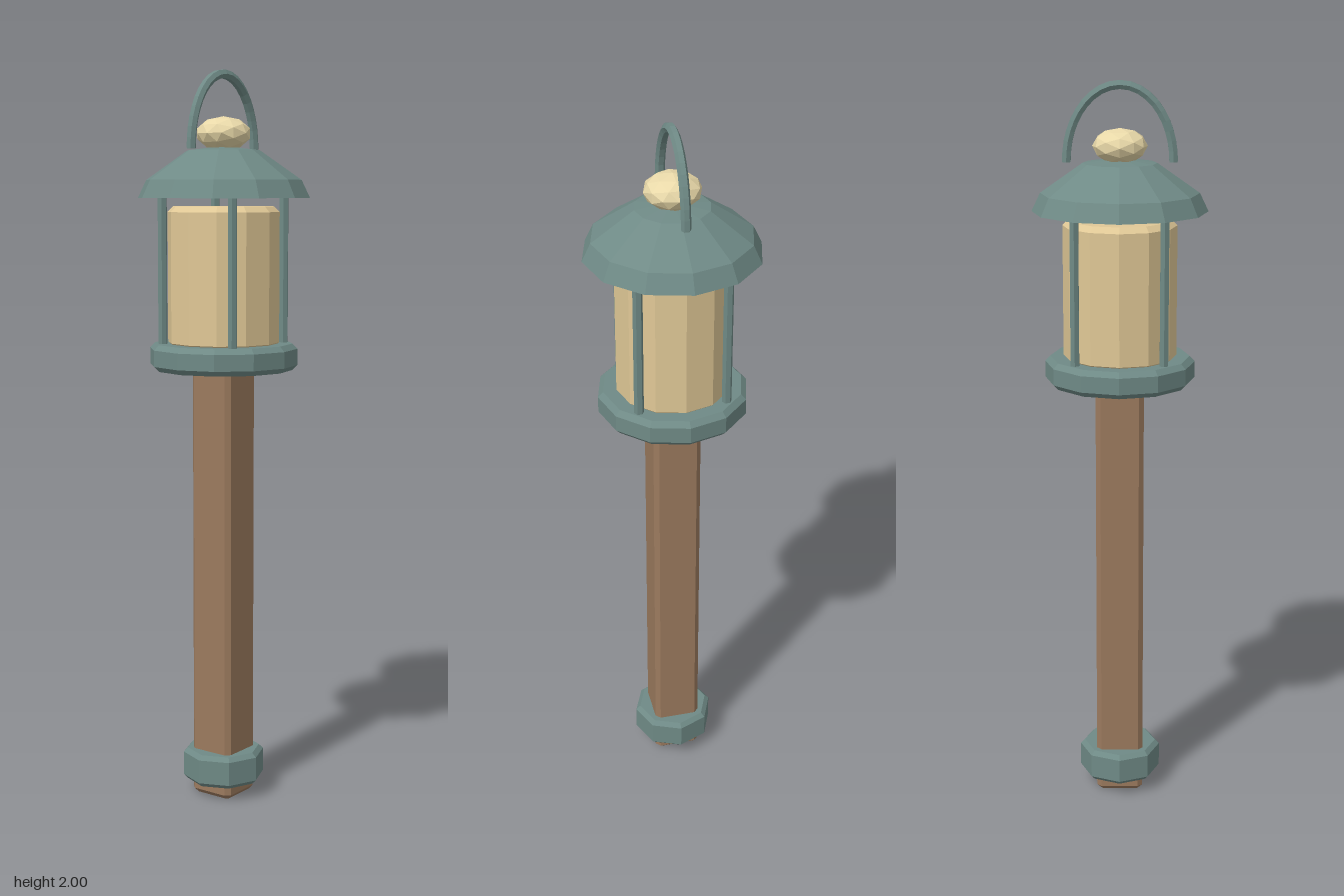
import * as THREE from 'three';

const mat = (color, side = THREE.FrontSide) =>
  new THREE.MeshStandardMaterial({ color, flatShading: true, side });

export function createModel() {
  const model = new THREE.Group();
  const metal = mat(0x6f8a86);
  const roofMetal = mat(0x6f8a86, THREE.DoubleSide);
  const wood = mat(0x9b7a5e);
  const glow = mat(0xe0c896);
  const cream = mat(0xe8d8a8);

  const add = (name, geometry, material, x = 0, y = 0, z = 0) => {
    const mesh = new THREE.Mesh(geometry, material);
    mesh.name = name;
    mesh.position.set(x, y, z);
    model.add(mesh);
    return mesh;
  };

  // Faceted drum with chamfered rims
  const drum = (r, y0, y1, c, sides) => new THREE.LatheGeometry([
    [0, y0], [r - c, y0], [r, y0 + c], [r, y1 - c], [r - c, y1], [0, y1],
  ].map(([x, y]) => new THREE.Vector2(x, y)), sides);

  // Square post with chamfered edges
  const h = 0.065, c = 0.013, height = 1.22;
  const section = new THREE.Shape([
    [h, -h + c], [h, h - c], [h - c, h], [-h + c, h],
    [-h, h - c], [-h, -h + c], [-h + c, -h], [h - c, -h],
  ].map(([x, y]) => new THREE.Vector2(x, y)));
  const postGeometry = new THREE.ExtrudeGeometry(section, {
    depth: height - 2 * c, bevelEnabled: true, bevelSegments: 1,
    bevelSize: 0.012, bevelOffset: -0.012, bevelThickness: c,
  });
  postGeometry.rotateX(-Math.PI / 2);
  add('post', postGeometry, wood, 0, c, 0);

  // Metal collar near the foot, and the lantern floor
  add('footCollar', drum(0.113, 0.04, 0.13, 0.012, 8), metal);
  add('lanternBase', drum(0.202, 1.2, 1.272, 0.014, 12), metal);

  // Glowing chamber
  add('lampGlass', drum(0.152, 1.26, 1.64, 0.015, 12), glow);

  // Four uprights between floor and roof
  for (const x of [-1, 1]) {
    for (const z of [-1, 1]) {
      add('upright', new THREE.CylinderGeometry(0.013, 0.013, 0.44, 6), metal,
        x * 0.117, 1.48, z * 0.117);
    }
  }

  // Hollow faceted roof
  add('roof', new THREE.LatheGeometry([
    [0.233, 1.662], [0.21, 1.71], [0.098, 1.788], [0, 1.8],
  ].map(([x, y]) => new THREE.Vector2(x, y)), 12), roofMetal);

  // Squashed knob on the roof
  add('finial', new THREE.IcosahedronGeometry(0.075, 1), cream, 0, 1.832, 0)
    .scale.set(0.97, 0.61, 1);

  // Arched carrying handle
  const arch = [];
  for (let i = 0; i <= 16; i++) {
    const a = Math.PI * i / 16;
    arch.push(new THREE.Vector3(0.14 * Math.cos(a), 1.792 + 0.196 * Math.sin(a), 0));
  }
  const handle = new THREE.CatmullRomCurve3(arch);
  add('handle', new THREE.TubeGeometry(handle, 20, 0.013, 6), metal);
  // Closed ends of the handle
  for (const x of [-0.14, 0.14]) {
    add('handleEnd', new THREE.CylinderGeometry(0.012, 0.012, 0.006, 6), metal, x, 1.793, 0);
  }

  return model;
}
